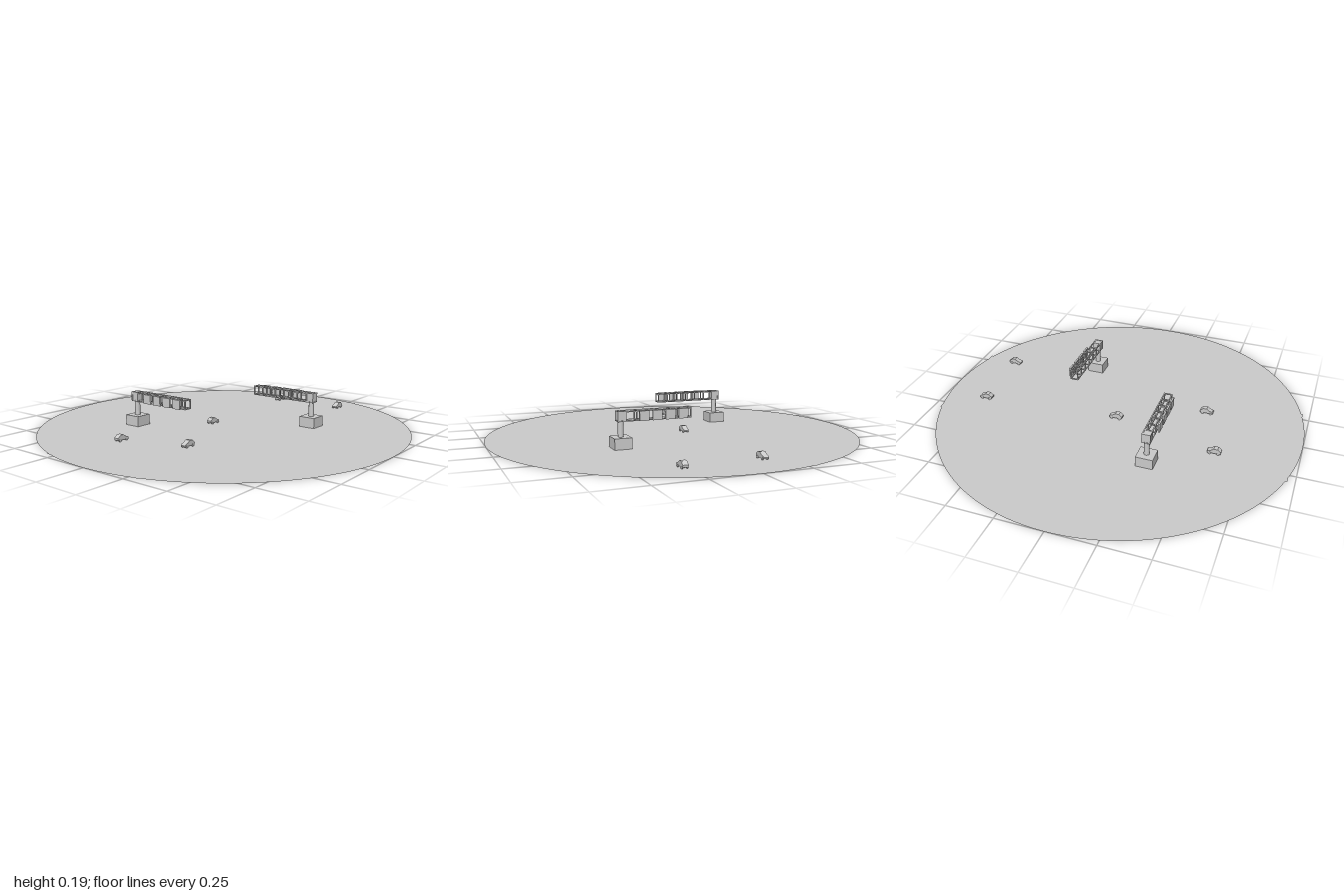
import * as THREE from 'three';

const grey = new THREE.MeshStandardMaterial({ color: 0xcccccc, flatShading: true });
const thin = new THREE.MeshStandardMaterial({ color: 0xcccccc, side: THREE.DoubleSide });

function add(parent, name, geometry, x = 0, y = 0, z = 0, material = grey) {
  const mesh = new THREE.Mesh(geometry, material);
  mesh.name = name;
  mesh.position.set(x, y, z);
  parent.add(mesh);
  return mesh;
}
const box = (w, h, d) => new THREE.BoxGeometry(w, h, d);

// Cantilever sign gantry; its arm reaches from the post towards +x, panels face +z
function createGantry() {
  const g = new THREE.Group();
  g.name = 'gantry';
  const px = -0.387, pz = 0.278;
  const bar = 0.006, left = -0.408, right = -0.018, low = 0.133, high = 0.185, half = 0.023;
  const midY = (low + high) / 2;

  add(g, 'gantryBase', box(0.091, 0.056, 0.091), px, 0.028, pz);
  add(g, 'gantryPost', new THREE.CylinderGeometry(0.0145, 0.0145, 0.09, 16), px, 0.095, pz);
  add(g, 'gantryHead', box(0.04, 0.048, 0.04), px, midY, pz);

  // Long chords at the four corners of the truss
  for (const y of [low + bar / 2, high - bar / 2])
    for (const s of [-1, 1])
      add(g, 'trussChord', box(right - left, bar, bar),
        (left + right) / 2, y, pz + s * (half - bar / 2));

  // Rectangular frames along the truss
  for (const x of [-0.405, -0.366, -0.309, -0.251, -0.193, -0.135, -0.077, -0.021]) {
    for (const s of [-1, 1]) {
      add(g, 'trussUpright', box(bar, high - low, bar), x, midY, pz + s * (half - bar / 2));
      add(g, 'trussCrossbar', box(bar, bar, 2 * half), x, midY + s * (high - low - bar) / 2, pz);
    }
  }

  // Four sign panels in front of the truss
  for (let i = 0; i < 4; i++)
    add(g, 'signPanel', box(0.05, 0.05, 0.01), -0.276 + i * 0.0695, midY, 0.312);
  return g;
}

// Small car with its bonnet towards +z
function createCar() {
  const car = new THREE.Group();
  car.name = 'car';
  const profile = new THREE.Shape([
    [-0.035, 0.009], [-0.036, 0.02], [-0.03, 0.025], [-0.019, 0.034], [0.001, 0.035],
    [0.016, 0.024], [0.032, 0.019], [0.036, 0.014], [0.035, 0.007],
    [0.03, 0.006], [0.026, 0.013], [0.018, 0.013], [0.014, 0.008],
    [-0.014, 0.008], [-0.018, 0.013], [-0.026, 0.013], [-0.03, 0.007],
  ].map(([z, y]) => new THREE.Vector2(z, y)));
  const body = new THREE.ExtrudeGeometry(profile, { depth: 0.028, bevelEnabled: false });
  body.translate(0, 0, -0.014).rotateY(-Math.PI / 2);
  add(car, 'carBody', body);

  const wheel = new THREE.CylinderGeometry(0.007, 0.007, 0.005, 12).rotateZ(Math.PI / 2);
  for (const x of [-0.0125, 0.0125])
    for (const z of [-0.022, 0.022]) add(car, 'wheel', wheel, x, 0.0072, z);
  return car;
}

export function createModel() {
  const model = new THREE.Group();
  model.name = 'roadScene';

  // Round ground with a straight road across it
  add(model, 'groundDisc', new THREE.CircleGeometry(1, 128).rotateX(-Math.PI / 2), 0, 0, 0, thin);
  add(model, 'road', new THREE.PlaneGeometry(0.604, 1.925).rotateX(-Math.PI / 2), 0, 0.001, 0, thin);

  // One gantry for each direction of travel
  for (const turn of [0, Math.PI]) {
    const gantry = createGantry();
    gantry.rotation.y = turn;
    model.add(gantry);
  }

  // Traffic: one side drives to -z, the other to +z
  for (const [x, z] of [[-0.134, -0.757], [0.272, -0.777], [-0.073, 0.005], [0.138, 0.46], [-0.2, 0.58]]) {
    const car = createCar();
    car.position.set(x, 0, z);
    car.rotation.y = x < 0 ? Math.PI : 0;
    model.add(car);
  }
  return model;
}
